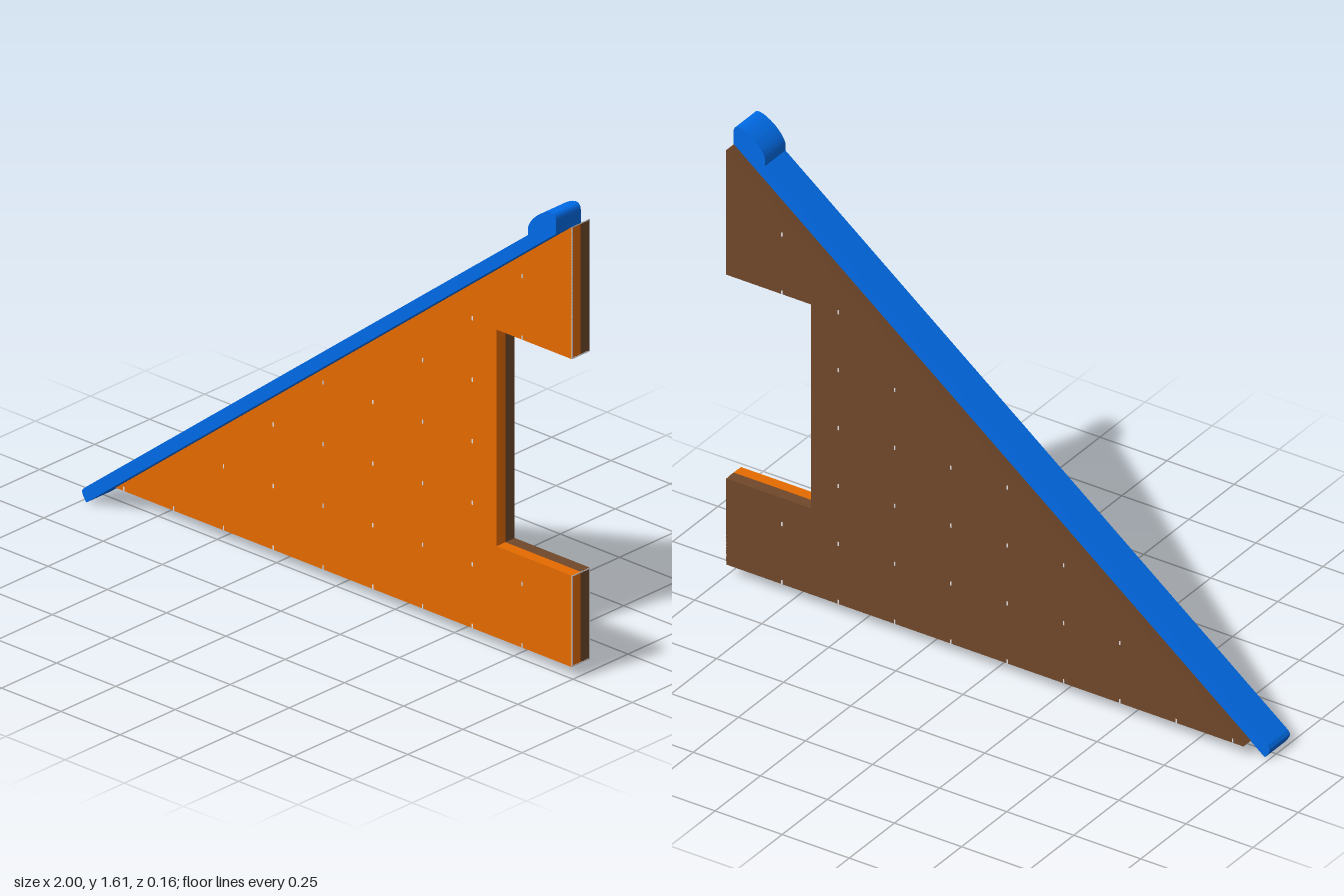
import * as THREE from 'three';

const material = (name, color) => {
  const m = new THREE.MeshStandardMaterial({ color });
  m.name = name;
  return m;
};

// Extrudes an outline in the xy plane between two depths
function slab(name, shape, zBack, zFront, mat) {
  const geo = new THREE.ExtrudeGeometry(shape, {
    depth: zFront - zBack, bevelEnabled: false, curveSegments: 12,
  });
  geo.translate(0, 0, zBack);
  const mesh = new THREE.Mesh(geo, mat);
  mesh.name = name;
  return mesh;
}

// Thin painted plate given by its size and centre
function plate(name, size, centre, mat) {
  const mesh = new THREE.Mesh(new THREE.BoxGeometry(...size), mat);
  mesh.position.set(...centre);
  mesh.name = name;
  return mesh;
}

const outline = (points) => new THREE.Shape(points.map(([x, y]) => new THREE.Vector2(x, y)));

export function createModel() {
  const group = new THREE.Group();
  group.name = 'notchedTrianglePanel';
  const orange = material('orange', 0xe56a00);
  const brown = material('brown', 0x70482a);
  const blue = material('blue', 0x0077ff);
  const pale = material('paleGrey', 0xe0dce0);
  const zFront = 0.004, zMid = -0.036, zBack = -0.078;
  const bottom = 0.042, right = 0.999;

  // Triangular panel with a rectangular notch, in two layers
  const panel = outline([
    [-0.93, bottom], [right, bottom], [right, 0.354], [0.682, 0.354],
    [0.682, 1.093], [right, 1.093], [right, 1.545],
  ]);
  group.add(slab('frontPanel', panel, zMid, zFront, orange));
  group.add(slab('backPanel', panel, zBack, zMid, brown));

  // Pale seams framing the two end faces beside the notch
  const w = 0.004;
  for (const [y0, y1] of [[bottom, 0.354], [1.093, 1.545]]) {
    for (const z of [zFront - w / 2, zBack + w / 2]) {
      group.add(plate('endSeam', [0.002, y1 - y0, w], [right, (y0 + y1) / 2, z], pale));
    }
    for (const y of [y0 + w / 2, y1 - w / 2]) {
      group.add(plate('endSeam', [0.002, w, zFront - zBack - 2 * w], [right, y, (zFront + zBack) / 2], pale));
    }
  }

  // Small pale flecks on a regular grid over both faces
  const step = 0.21;
  for (let i = -5; i <= 3; i++) {
    for (let j = 0; j <= 6; j++) {
      const x = 0.16 + i * step, y = bottom + 0.008 + j * step;
      const underSlope = y + 0.01 < bottom + (x + 0.93) * 0.779;
      const inNotch = x > 0.67 && y > 0.34 && y < 1.1;
      if (!underSlope || inNotch) continue;
      for (const z of [zFront, zBack]) {
        group.add(plate('fleck', [0.005, 0.014, 0.002], [x, y, z], pale));
      }
    }
  }

  // Sloping rail with slightly rounded foot
  const rail = outline([
    [-0.98, 0], [0.942, 1.5], [0.917, 1.532], [-0.992, 0.045],
    [-1, 0.034], [-0.997, 0.022], [-0.985, 0.003],
  ]);
  group.add(slab('slopingRail', rail, zMid, 0.077, blue));

  // Rounded stop at the top of the rail
  const stop = new THREE.Shape();
  stop.moveTo(0.882, 1.475);
  stop.lineTo(0.942, 1.5);
  stop.lineTo(1, 1.545);
  stop.lineTo(1, 1.59);
  stop.quadraticCurveTo(0.998, 1.615, 0.975, 1.612);
  stop.bezierCurveTo(0.94, 1.605, 0.89, 1.565, 0.882, 1.53);
  stop.closePath();
  group.add(slab('topStop', stop, zMid, 0.077, blue));

  return group;
}
